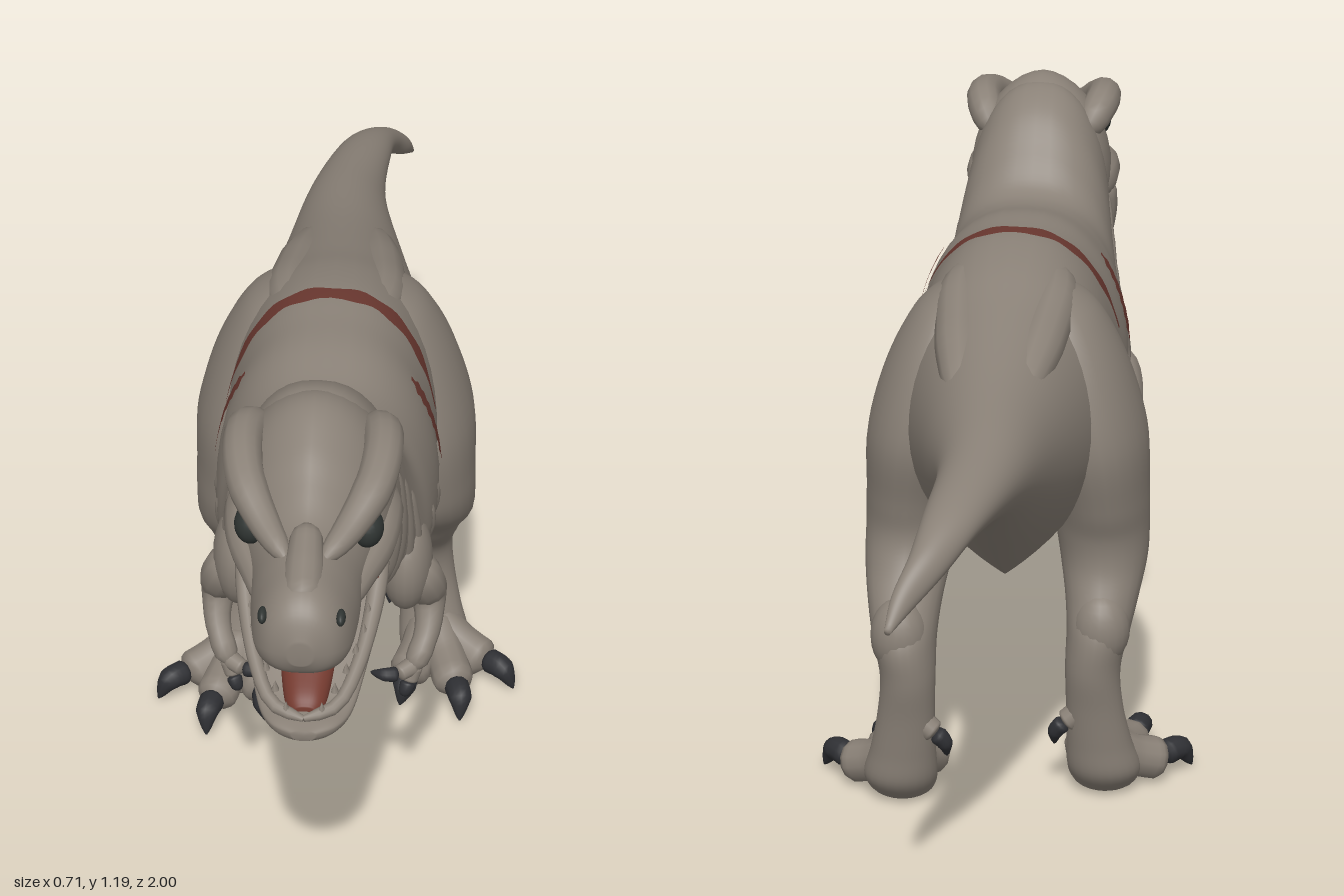
import * as THREE from 'three';

const mat = (name, color, side = THREE.FrontSide) => {
  const m = new THREE.MeshStandardMaterial({ color, side });
  m.name = name;
  return m;
};

// Catmull-Rom interpolation of every column of a list of rows
function smooth(rows, steps = 6) {
  const out = [], n = rows.length - 1;
  for (let i = 0; i < n; i++) {
    const [a, b, c, d] = [rows[Math.max(i - 1, 0)], rows[i], rows[i + 1], rows[Math.min(i + 2, n)]];
    for (let k = 0; k < steps; k++) {
      const t = k / steps;
      out.push(b.map((_, j) => 0.5 * (2 * b[j] + (c[j] - a[j]) * t
        + (2 * a[j] - 5 * b[j] + 4 * c[j] - d[j]) * t * t
        + (3 * b[j] - a[j] - 3 * c[j] + d[j]) * t * t * t)));
    }
  }
  out.push(rows[n]);
  return out;
}

// Capped skin over rings of points, turned so that it faces outward
function skinRings(rings) {
  const n = rings[0].length, pos = [], idx = [];
  rings.forEach(r => r.forEach(p => pos.push(p.x, p.y, p.z)));
  for (let i = 0; i < rings.length - 1; i++) for (let j = 0; j < n; j++) {
    const a = i * n + j, b = i * n + (j + 1) % n;
    idx.push(a, b, b + n, a, b + n, a + n);
  }
  [0, rings.length - 1].forEach((r, end) => {
    const c = rings[r].reduce((s, p) => s.add(p), new THREE.Vector3()).divideScalar(n);
    const ci = pos.length / 3;
    pos.push(c.x, c.y, c.z);
    for (let j = 0; j < n; j++) {
      const a = r * n + j, b = r * n + (j + 1) % n;
      end ? idx.push(ci, a, b) : idx.push(ci, b, a);
    }
  });
  const v = i => new THREE.Vector3().fromArray(pos, i * 3);
  let vol = 0;
  for (let i = 0; i < idx.length; i += 3) vol += v(idx[i]).dot(v(idx[i + 1]).cross(v(idx[i + 2])));
  if (vol < 0) idx.reverse();
  return indexed(pos, idx);
}

function indexed(pos, idx) {
  const g = new THREE.BufferGeometry();
  g.setAttribute('position', new THREE.Float32BufferAttribute(pos, 3));
  g.setIndex(idx);
  g.computeVertexNormals();
  return g;
}

const ring = (n, f) => Array.from({ length: n }, (_, j) => f(j / n * Math.PI * 2));

// Upright section from a row: z, top, bottom, widest height, half width, x offset,
// then the upper and lower exponents (below 1 boxy, 2 a pointed arch)
function upright([z, top, bot, mid, w, xo = 0, pTop = 0.8, pBot = 0.8], a) {
  const c = Math.cos(a), s = Math.sin(a);
  const x = Math.sign(s) * Math.abs(s) ** (c > 0 ? pTop : pBot);
  return new THREE.Vector3(xo + w * x, mid + c * (c > 0 ? top - mid : mid - bot), z);
}
const loft = (rows, n = 36) => skinRings(smooth(rows).map(r => ring(n, a => upright(r, a))));

// Level sections from rows: y, x, z, rx, rz
const column = (rows, s) => skinRings(smooth(rows).map(([y, x, z, rx, rz]) =>
  ring(24, a => new THREE.Vector3(s * (x + rx * Math.cos(a)), y, z + rz * Math.sin(a)))));

// Tapering tube through points: x, y, z, radius
function limb(pts, s = 1, n = 14) {
  const curve = new THREE.CatmullRomCurve3(pts.map(p => new THREE.Vector3(s * p[0], p[1], p[2])));
  const fr = curve.computeFrenetFrames(n, false), rings = [];
  for (let i = 0; i <= n; i++) {
    const f = i / n * (pts.length - 1), k = Math.min(Math.floor(f), pts.length - 2);
    const r = THREE.MathUtils.lerp(pts[k][3], pts[k + 1][3], f - k)
      * (i % n === 0 ? 0.45 : i === 1 || i === n - 1 ? 0.88 : 1);
    const c = curve.getPointAt(i / n);
    rings.push(ring(12, a => c.clone().addScaledVector(fr.normals[i], r * Math.cos(a))
      .addScaledVector(fr.binormals[i], r * Math.sin(a))));
  }
  return skinRings(rings);
}

const bodyRows = [
  [-1, .725, .713, .72, .006, .105, 1, 1], [-.96, .78, .733, .757, .02, .085, 1, 1],
  [-.9, .833, .768, .8, .034, .05, 1, 1], [-.8, .875, .795, .835, .052, .02, 1, 1],
  [-.61, .91, .75, .835, .077, -.008, 1, 1.1], [-.4, .945, .61, .79, .125, -.004, 1, 1.3],
  [-.2, .995, .475, .75, .175, 0, .95, 1.7], [-.08, 1.03, .425, .75, .195, 0, .9, 2],
  [.03, 1.048, .475, .75, .195, 0, .85, 1.6], [.12, 1.045, .52, .75, .195, 0, .85, 1.2],
  [.2, 1.04, .54, .74, .203, 0, .85, 1], [.3, 1.02, .565, .74, .195, 0, .85, .9],
  [.36, 1.03, .59, .75, .18, 0, .85, .85], [.41, 1.085, .62, .8, .165, 0, .85, .85],
  [.47, 1.15, .695, .88, .15, 0, .85, .85], [.54, 1.185, .78, .95, .135, 0, .85, .85],
  [.6, 1.18, .81, .98, .105, 0, .9, .85]];
const bodyDense = smooth(bodyRows);

// Point just outside the body skin at a given z and angle from the spine
function onBody(z, a, lift = 0.006) {
  const i = Math.max(1, bodyDense.findIndex(r => r[0] >= z));
  const [r, q] = [bodyDense[i - 1], bodyDense[i]], t = (z - r[0]) / (q[0] - r[0]);
  const row = r.map((v, j) => v + (q[j] - v) * t), p = upright(row, a);
  const d = new THREE.Vector3(p.x, p.y - row[3], 0).normalize();
  return p.addScaledVector(d, lift);
}

// Ragged strip lying on the body between two angles
function scarStrip(a0, a1, zAt, half) {
  const n = 40, pos = [], idx = [];
  for (let i = 0; i <= n; i++) {
    const a = a0 + (a1 - a0) * i / n, taper = Math.min(1, 0.15 + 6 * Math.min(i, n - i) / n);
    for (let k = -1; k <= 1; k++) {
      const rag = 0.003 * Math.sin(i * 1.1 + k * 2);
      pos.push(...onBody(zAt(a) + k * half * taper + rag, a).toArray());
    }
    if (i < n) for (let k = 0; k < 2; k++) {
      const q = i * 3 + k;
      idx.push(q, q + 1, q + 4, q, q + 4, q + 3);
    }
  }
  return indexed(pos, idx);
}

export function createModel() {
  const root = new THREE.Group();
  root.name = 'dinosaur';
  const skin = mat('skin', 0x8a8177), claw = mat('claw', 0x2f3034), eye = mat('eye', 0x303533);
  const mouth = mat('mouth', 0x743a2f), scar = mat('scar', 0x69372f, THREE.DoubleSide);
  const add = (name, geo, m = skin) => {
    const mesh = new THREE.Mesh(geo, m);
    mesh.name = name;
    root.add(mesh);
    return mesh;
  };
  const blob = (name, c, r, m = skin) => {
    const mesh = add(name, new THREE.SphereGeometry(1, 20, 14), m);
    mesh.position.set(...c);
    mesh.scale.set(...r);
  };

  // Trunk, neck and tail
  add('body', loft(bodyRows, 44));

  // Skull with a narrow bridge, and the open jaw
  add('skull', loft([
    [.46, 1.11, .88, 1, .1, 0, .9, .7], [.53, 1.175, .87, 1, .132, 0, 1, .7], [.6, 1.195, .89, .99, .138, 0, 1.1, .7],
    [.68, 1.165, .925, .98, .128, 0, 1.2, .6], [.74, 1.125, .94, .975, .108, 0, 1.2, .6],
    [.8, 1.09, .94, .97, .094, 0, 1.2, .6], [.87, 1.078, .91, .955, .09, 0, 1.1, .6],
    [.94, 1.068, .902, .955, .08, 0, 1, .6], [.98, 1.04, .92, .965, .058, 0, .9, .7], [1, .995, .95, .97, .02, 0, .9, .8]]));
  add('lowerJaw', loft([
    [.5, .92, .8, .86, .112], [.6, .905, .785, .86, .128], [.68, .86, .765, .83, .12], [.78, .808, .738, .785, .1],
    [.86, .77, .718, .75, .08], [.91, .762, .723, .75, .056], [.935, .757, .737, .75, .02]]));
  add('mouthLining', loft([
    [.55, .96, .83, .9, .108], [.66, .955, .85, .91, .126], [.705, .945, .86, .91, .114]]), mouth);
  add('palate', loft([
    [.68, .95, .93, .94, .06], [.8, .95, .936, .945, .05], [.88, .93, .906, .92, .042], [.95, .93, .9, .915, .03]]), mouth);
  add('tongue', loft([
    [.64, .92, .85, .885, .05], [.72, .88, .81, .845, .052], [.8, .825, .765, .795, .046],
    [.87, .79, .74, .765, .034], [.89, .772, .752, .762, .018]]), mouth);
  add('nasalRidge', limb([[0, 1.085, .8, .025], [0, 1.058, .88, .033], [0, 1.035, .95, .035]]));

  for (const s of [1, -1]) {
    // Face
    add('brow', limb([[.03, 1.06, .86, .016], [.07, 1.078, .79, .026], [.106, 1.112, .72, .033],
      [.118, 1.132, .65, .034], [.114, 1.13, .585, .034], [.09, 1.09, .53, .03]], s, 20));
    add('cheek', limb([[.06, .965, .86, .022], [.085, .972, .78, .028], [.108, .98, .7, .035],
      [.108, .985, .62, .045], [.095, .97, .54, .045]], s));
    add('jawMuscle', limb([[.108, .98, .59, .04], [.11, .91, .6, .04], [.102, .85, .6, .035], [.085, .81, .58, .025]], s));
    add('jawRim', limb([[.118, .93, .645, .018], [.108, .87, .735, .016], [.086, .818, .83, .013],
      [.053, .783, .895, .012], [0, .773, .92, .012]], s));
    blob('eye', [s * .097, 1.052, .752], [.028, .035, .034], eye);
    blob('nostril', [s * .064, 1.018, .955], [.008, .012, .018], eye);
    for (let i = 0; i < 6; i++) {
      const t = i / 5, up = add('upperTooth', new THREE.ConeGeometry(.008, .022, 6));
      up.position.set(s * (.08 - .06 * t ** 3), .916 - .012 * Math.sin(t * 3), .8 + .16 * t);
      up.rotation.x = Math.PI;
      const low = add('lowerTooth', new THREE.ConeGeometry(.007, .02, 6));
      low.position.set(s * (.1 - .07 * t ** 1.5), .88 - .088 * t, .75 + .16 * t);
    }

    // Neck and flank folds
    for (let i = 0; i < 3; i++) add('neckFold', limb([0, 1, 2, 3].map(k => {
      const p = onBody(.5 - .045 * i - .03 * k, 1.25 + .4 * k, -.008);
      return [Math.abs(p.x), p.y, p.z, .013];
    }), s));
    for (let i = 0; i < 3; i++) add('flankFold', limb([0, 1, 2, 3].map(k => {
      const p = onBody(.3 - .07 * i - .02 * k, 1.45 + .28 * k, -.011);
      return [Math.abs(p.x), p.y, p.z, .015];
    }), s));
    add('hipRidge', limb([[.06, .98, .06, .03], [.085, .975, -.04, .045], [.078, .945, -.18, .045], [.05, .89, -.4, .03]], s));

    // Arm and hand
    blob('shoulder', [s * .15, .69, .36], [.048, .1, .075]);
    add('arm', limb([[.155, .7, .38, .04], [.182, .64, .36, .042], [.19, .6, .34, .036], [.192, .55, .37, .026],
      [.178, .51, .405, .022], [.165, .485, .42, .026]], s));
    for (const [dx, dy, dz] of [[-.055, .005, .012], [-.012, -.045, .0]]) {
      const e = [.165 + dx * .45, .482 + dy * .5, .425 + dz];
      add('finger', limb([[.168, .49, .415, .018], [...e, .015]], s));
      add('handClaw', limb([[...e, .015], [.165 + dx * .9, .484 + dy * .85, .432 + dz, .012],
        [.165 + dx * 1.35, .478 + dy * 1.15, .42 + dz, .003]], s), claw);
    }

    // Leg, the left one set further back below the knee
    const back = y => (s > 0 ? -.07 * THREE.MathUtils.smoothstep(.6 - y, 0, .25) : 0);
    add('leg', column([
      [1, .08, -.07, .03, .05], [.95, .11, -.075, .06, .1], [.85, .135, -.08, .088, .14], [.72, .16, -.08, .1, .16],
      [.6, .175, -.075, .09, .138], [.53, .178, -.07, .088, .12], [.47, .182, -.085, .082, .105], [.41, .182, -.125, .07, .09],
      [.35, .178, -.158, .06, .084], [.28, .17, -.185, .052, .058], [.2, .174, -.185, .054, .045],
      [.12, .182, -.17, .062, .05], [.06, .19, -.15, .07, .062], [.02, .19, -.125, .06, .058], [.005, .19, -.12, .04, .04]
    ].map(([y, x, z, rx, rz]) => [y, x, z + back(y), rx, rz]), s));
    blob('calf', [s * .185, .36, -.185 + back(.36)], [.054, .075, .055]);
    const o = back(0);
    for (const [mx, mz, ex, ez, tx, tz] of [
      [.25, -.115, .298, -.085, .352, -.045], [.215, -.08, .238, -.003, .248, .062], [.16, -.085, .138, -.03, .128, .02]]) {
      add('toe', limb([[.185, .1, -.155 + o, .045], [mx, .062, mz + o, .04], [ex, .043, ez + o, .042]], s));
      add('toeClaw', limb([[ex, .052, ez + o, .026], [(ex + tx) / 2 + .004, .052, (ez + tz) / 2 + .008 + o, .023],
        [tx, .012, tz + o, .004]], s), claw);
    }
    add('dewToe', limb([[.15, .19, -.19 + o, .025], [.118, .165, -.195 + o, .022]], s));
    add('dewClaw', limb([[.118, .165, -.195 + o, .018], [.102, .145, -.19 + o, .015], [.098, .112, -.18 + o, .003]], s), claw);

    // Short scar on the ribs
    add('ribScar', scarStrip(s * .75, s * 1.4, () => .19, .015), scar);
  }
  // Long scar over the back
  add('backScar', scarStrip(-1.25, 1.25, a => .055 + .035 * a * a, .018), scar);
  return root;
}
